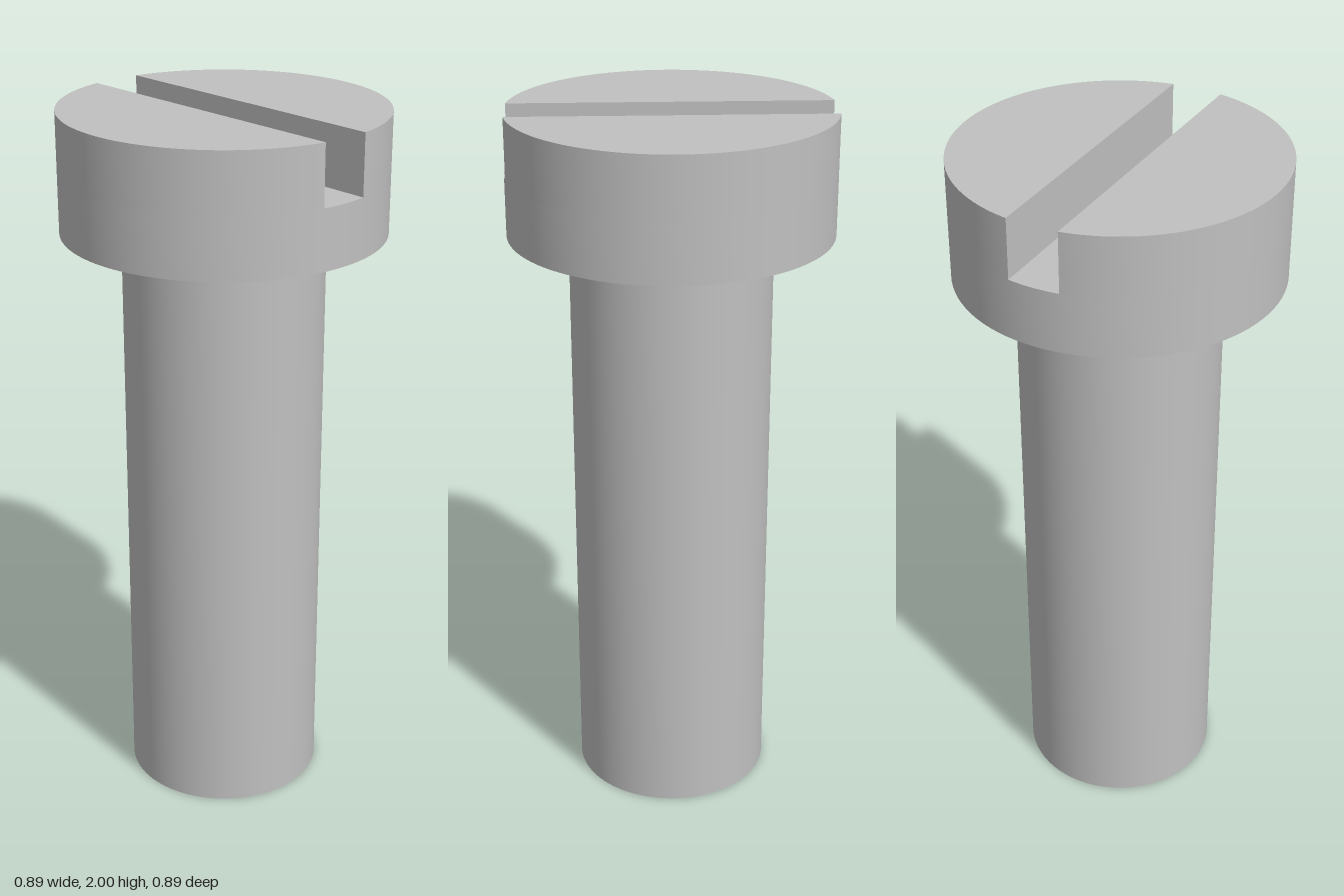
import * as THREE from 'three';
import { toCreasedNormals } from 'three/addons/utils/BufferGeometryUtils.js';

const SHANK_R = 0.278, HEAD_R = 0.444;
const HEAD_Y = 1.667, SLOT_Y = 1.833, TOP_Y = 2;
const SLOT_HALF = 0.071;

export function createModel() {
  const steel = new THREE.MeshStandardMaterial({ color: 0xc0c0c0 });
  steel.name = 'steel';

  const screw = new THREE.Group();
  screw.name = 'slottedScrew';

  const addPart = (name, geometry) => {
    const mesh = new THREE.Mesh(toCreasedNormals(geometry, 0.6), steel);
    mesh.name = name;
    screw.add(mesh);
    return mesh;
  };
  const lathe = (points) =>
    new THREE.LatheGeometry(points.map(([r, y]) => new THREE.Vector2(r, y)), 96);

  // Plain round shank with a flat end
  addPart('shank', lathe([[0, 0], [SHANK_R, 0], [SHANK_R, HEAD_Y]]));

  // Lower head: underside ring, wall, and the floor of the slot
  addPart('headBase', lathe([[SHANK_R, HEAD_Y], [HEAD_R, HEAD_Y], [HEAD_R, SLOT_Y], [0, SLOT_Y]]));

  // Upper head: two circular segments on either side of the slot
  const start = Math.asin(SLOT_HALF / HEAD_R);
  const segment = new THREE.Shape();
  segment.absarc(0, 0, HEAD_R, start, Math.PI - start, false);
  segment.closePath();
  ['headHalfBack', 'headHalfFront'].forEach((name, i) => {
    const geometry = new THREE.ExtrudeGeometry(segment, {
      depth: TOP_Y - SLOT_Y, bevelEnabled: false, curveSegments: 48,
    });
    geometry.rotateX(-Math.PI / 2).rotateY(i * Math.PI).translate(0, SLOT_Y, 0);
    addPart(name, geometry);
  });

  return screw;
}
